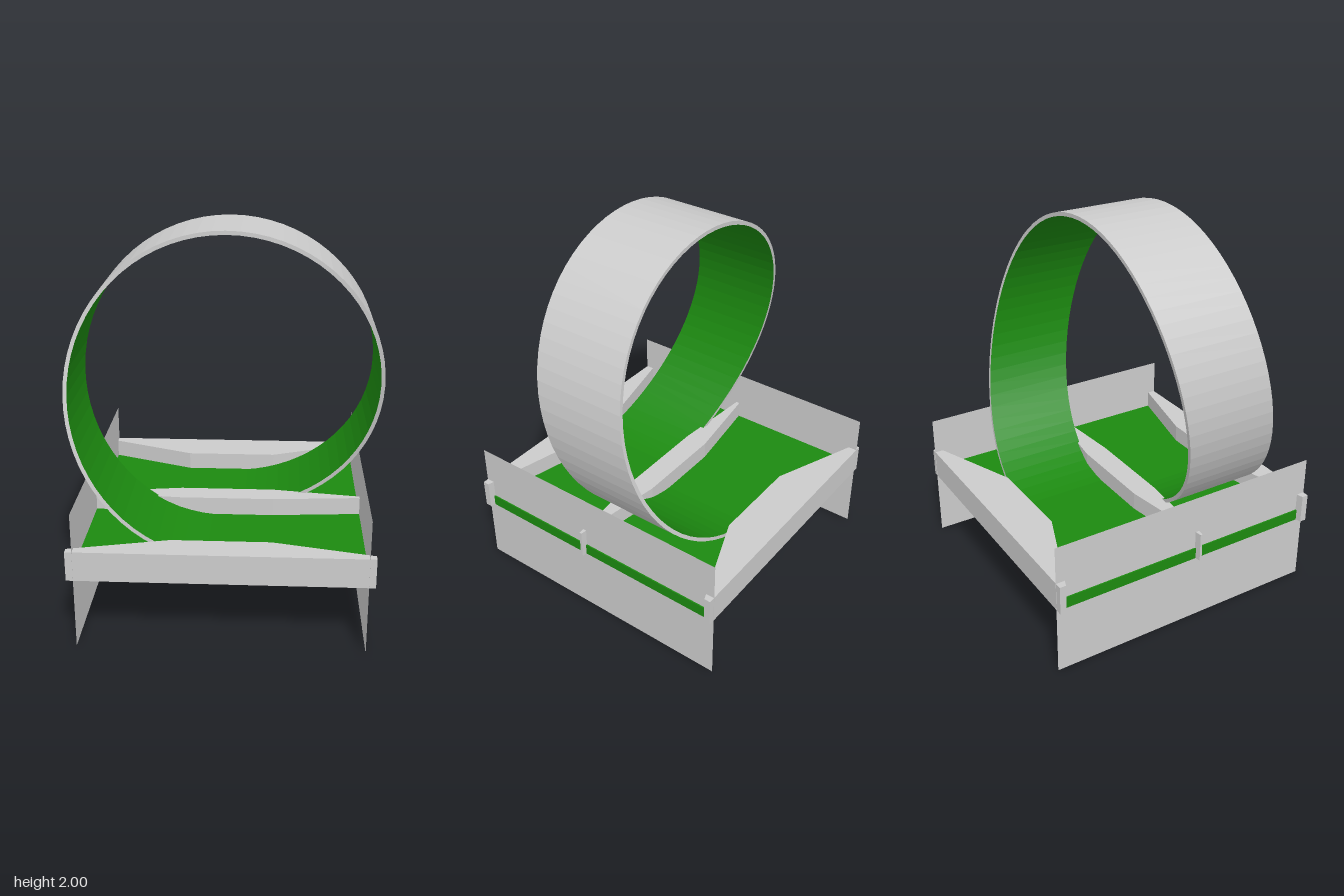
import * as THREE from 'three';

const grey = new THREE.MeshStandardMaterial({ color: 0xcccccc, flatShading: true, side: THREE.DoubleSide });
const green = new THREE.MeshStandardMaterial({ color: 0x1c8a10, flatShading: true });

const FLOOR_Y = 0.365, RAIL_H = 0.155;

function add(parent, name, geometry, material) {
  const mesh = new THREE.Mesh(geometry, material);
  mesh.name = name;
  parent.add(mesh);
  return mesh;
}

// Point on the corkscrew band: angle 0 is the top, the ends meet the floor at +-PI
function bandPoint(angle, radius, edge) {
  const drop = Math.pow((1 - Math.cos(angle)) / 2, 1.5);
  const shift = angle > 0 ? -0.335 * drop : 0.29 * drop;
  return [radius * Math.sin(angle), 1.2 + radius * Math.cos(angle), 0.062 + shift + edge * 0.25];
}

// Strips of quads along the band, each between two [radius, edge] corners
function bandGeometry(pairs, segments = 72) {
  const pos = [];
  for (const [a, b] of pairs) {
    for (let i = 0; i < segments; i++) {
      const t0 = -Math.PI + (2 * Math.PI * i) / segments;
      const t1 = t0 + (2 * Math.PI) / segments;
      const a0 = bandPoint(t0, ...a), b0 = bandPoint(t0, ...b);
      const a1 = bandPoint(t1, ...a), b1 = bandPoint(t1, ...b);
      pos.push(...a0, ...b0, ...a1, ...b0, ...b1, ...a1);
    }
  }
  const g = new THREE.BufferGeometry();
  g.setAttribute('position', new THREE.Float32BufferAttribute(pos, 3));
  g.computeVertexNormals();
  return g;
}

// Upright rail from an outline of [x, z] points
function railGeometry(points) {
  const shape = new THREE.Shape(points.map(([x, z]) => new THREE.Vector2(x, -z)));
  const g = new THREE.ExtrudeGeometry(shape, { depth: RAIL_H, bevelEnabled: false });
  g.rotateX(-Math.PI / 2);
  g.translate(0, FLOOR_Y, 0);
  return g;
}

export function createModel() {
  const model = new THREE.Group();
  model.name = 'loopObstacle';

  // Floor
  const floor = add(model, 'floor', new THREE.BoxGeometry(1.45, 0.06, 1.44), green);
  floor.position.set(-0.006, FLOOR_Y + 0.03, 0);

  // Corkscrew loop: grey shell with a green running surface
  const loop = new THREE.Group();
  loop.name = 'loop';
  model.add(loop);
  const outBack = [0.8, -1], outFront = [0.8, 1], inFront = [0.78, 1], inBack = [0.78, -1];
  add(loop, 'loopShell', bandGeometry([[outBack, outFront], [outFront, inFront], [inBack, outBack]]), grey);
  add(loop, 'loopTrack', bandGeometry([[inFront, inBack]]), green);

  // Rails that narrow the two lanes towards the loop
  const L = -0.76, R = 0.745, l = -0.26, r = 0.24;
  add(model, 'frontRail', railGeometry([[L, 0.755], [R, 0.755], [R, 0.72], [r, 0.602], [l, 0.602], [L, 0.72]]), grey);
  add(model, 'backRail', railGeometry([[L, -0.755], [R, -0.755], [R, -0.722], [r, -0.525], [l, -0.525], [L, -0.722]]), grey);
  add(model, 'middleRail', railGeometry([
    [L, 0.062], [l, 0.102], [r, 0.102], [R, 0.062], [R, 0.05], [r, -0.023], [l, -0.023], [L, 0.05],
  ]), grey);

  // Thin side panels
  for (const [name, x] of [['leftPanel', 0.712], ['rightPanel', -0.724]]) {
    const panel = add(model, name, new THREE.PlaneGeometry(1.514, 0.72), grey);
    panel.rotation.y = Math.PI / 2;
    panel.position.set(x, 0.36, 0);
  }
  return model;
}
